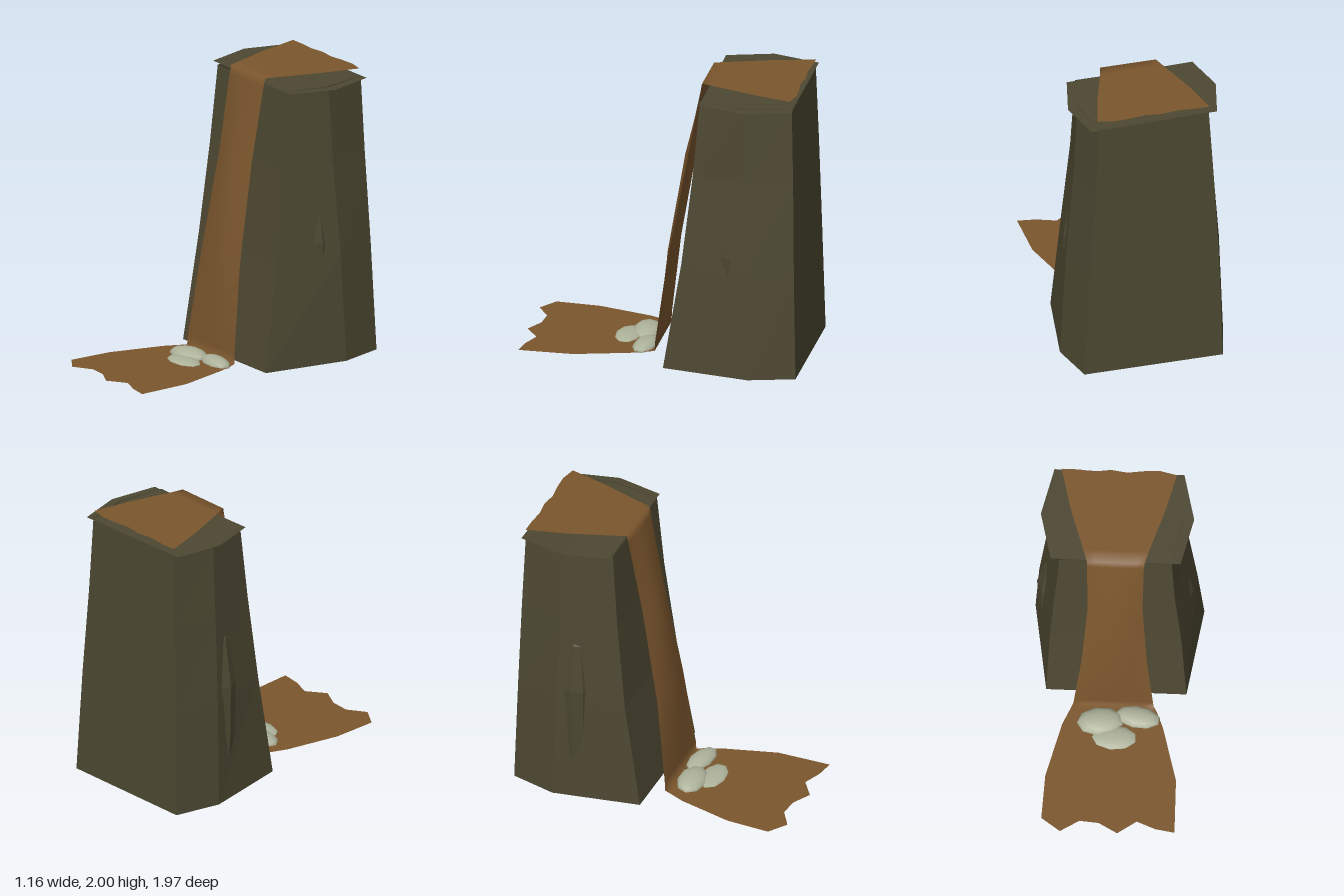
import * as THREE from 'three';

const mat = (name, color, flat) => {
  const m = new THREE.MeshStandardMaterial({ color, flatShading: flat, side: THREE.DoubleSide });
  m.name = name;
  return m;
};

// Skin through rows of [x, y, z] points; closed joins the last point to the first
function loft(rows, closed) {
  const n = rows[0].length, pos = rows.flat(2), idx = [];
  for (let r = 0; r < rows.length - 1; r++) {
    for (let i = 0; i < (closed ? n : n - 1); i++) {
      const j = (i + 1) % n;
      const a = r * n + i, b = r * n + j, c = b + n, d = a + n;
      idx.push(a, b, c, a, c, d);
    }
  }
  const g = new THREE.BufferGeometry();
  g.setAttribute('position', new THREE.Float32BufferAttribute(pos, 3));
  g.setIndex(idx);
  g.computeVertexNormals();
  return g;
}

export function createModel() {
  const group = new THREE.Group();
  const rock = mat('darkRock', 0x4d4832, true);
  const water = mat('muddyWater', 0x7b562d, false);
  const foam = mat('paleStone', 0xaeb39b, false);
  const add = (name, geo, m, x = 0, y = 0, z = 0) => {
    const mesh = new THREE.Mesh(geo, m);
    mesh.name = name;
    mesh.position.set(x, y, z);
    group.add(mesh);
    return mesh;
  };

  // Tapering six-sided cliff, open underneath
  // [y, shift x, front half width, front z, side half width, side z, back half width, back z]
  const levels = [
    [0, 0, 0.48, -0.06, 0.578, -0.67, 0.49, -0.99],
    [0.76, -0.01, 0.45, -0.18, 0.542, -0.655, 0.46, -0.97],
    [1.4, -0.018, 0.41, -0.25, 0.49, -0.635, 0.42, -0.955],
    [1.945, -0.015, 0.385, -0.295, 0.455, -0.62, 0.39, -0.94],
  ];
  add('cliff', loft(levels.map(([y, s, fw, fz, sw, sz, bw, bz]) => [
    [s + fw, y, fz], [s + sw, y, sz], [s + bw, y, bz],
    [s - bw, y, bz], [s - sw, y, sz], [s - fw, y, fz],
  ]), true), rock);

  // Thin, slightly tilted overhanging cap
  const rim = [[0.43, -0.3], [0.51, -0.63], [0.43, -0.95], [0.15, -0.945], [-0.15, -0.95],
    [-0.46, -0.95], [-0.54, -0.62], [-0.46, -0.3]];
  const capY = (x, i) => 1.949 - 0.024 * x + (i % 2 ? -0.002 : 0.002);
  add('cliffTop', loft([
    rim.map(([x, z], i) => [x, capY(x, i), z]),
    rim.map(() => [-0.015, 1.95, -0.62]),
  ], true), rock);

  // Tall boulders set into the cliff walls
  const profile = [[0.085, 0.12], [0.105, 0.45], [0.112, 0.85], [0.06, 1.2], [0.001, 1.3]]
    .map(([r, y]) => new THREE.Vector2(r, y));
  for (const [x, z] of [[-0.45, -0.54], [0.4, -0.52], [-0.33, -0.31], [0.31, -0.31]]) {
    add('wallBoulder', new THREE.LatheGeometry(profile, 8), rock, x, 0, z);
  }

  // One sheet of water: pool, fall and upper stream
  // [y, z, left x, right x, forward bulge]
  const course = [
    [0.03, 0.9, -0.475, 0.44, 0],
    [0.03, 0.58, -0.46, 0.435, 0],
    [0.03, 0.2, -0.36, 0.33, 0],
    [0.03, 0.09, -0.31, 0.285, 0],
    [0.03, 0.045, -0.29, 0.26, 0],
    [0.1, 0.042, -0.285, 0.255, 0],
    [0.7, -0.035, -0.235, 0.21, 0.035],
    [1.4, -0.16, -0.2, 0.175, 0.045],
    [1.94, -0.259, -0.21, 0.18, 0.005],
    [2.0, -0.27, -0.21, 0.185, 0],
    [2.0, -0.36, -0.24, 0.21, 0],
    [2.0, -0.66, -0.34, 0.31, 0],
    [2.0, -0.94, -0.41, 0.38, 0],
  ];
  const frontEdge = [-0.01, 0.08, 0, 0.01, 0.08, -0.01, 0.04, 0.06];
  const backEdge = [0, 0, 0.01, -0.005, 0.01, -0.005, -0.01, 0.015];
  const last = course.length - 1;
  add('waterfall', loft(course.map(([y, z, x0, x1, bulge], r) =>
    frontEdge.map((f, i) => {
      const t = i / 7;
      const ragged = r === 0 ? f : r === last ? backEdge[i] : 0;
      return [x0 + (x1 - x0) * t, y, z + ragged + bulge * Math.sin(Math.PI * t)];
    })), false), water);

  // Flat rounded stones at the foot of the fall, open below
  const stones = [
    [-0.1, 0.17, 0.165, 0.056, 0.105, 0.1],
    [0.155, 0.13, 0.16, 0.048, 0.082, -0.15],
    [0, 0.285, 0.16, 0.03, 0.092, 0],
  ];
  for (const [x, z, sx, sy, sz, turn] of stones) {
    const geo = new THREE.SphereGeometry(1, 9, 4, 0, Math.PI * 2, 0, Math.PI / 2);
    const stone = add('stone', geo, foam, x, 0.025, z);
    stone.scale.set(sx, sy, sz);
    stone.rotation.y = turn;
  }
  return group;
}
